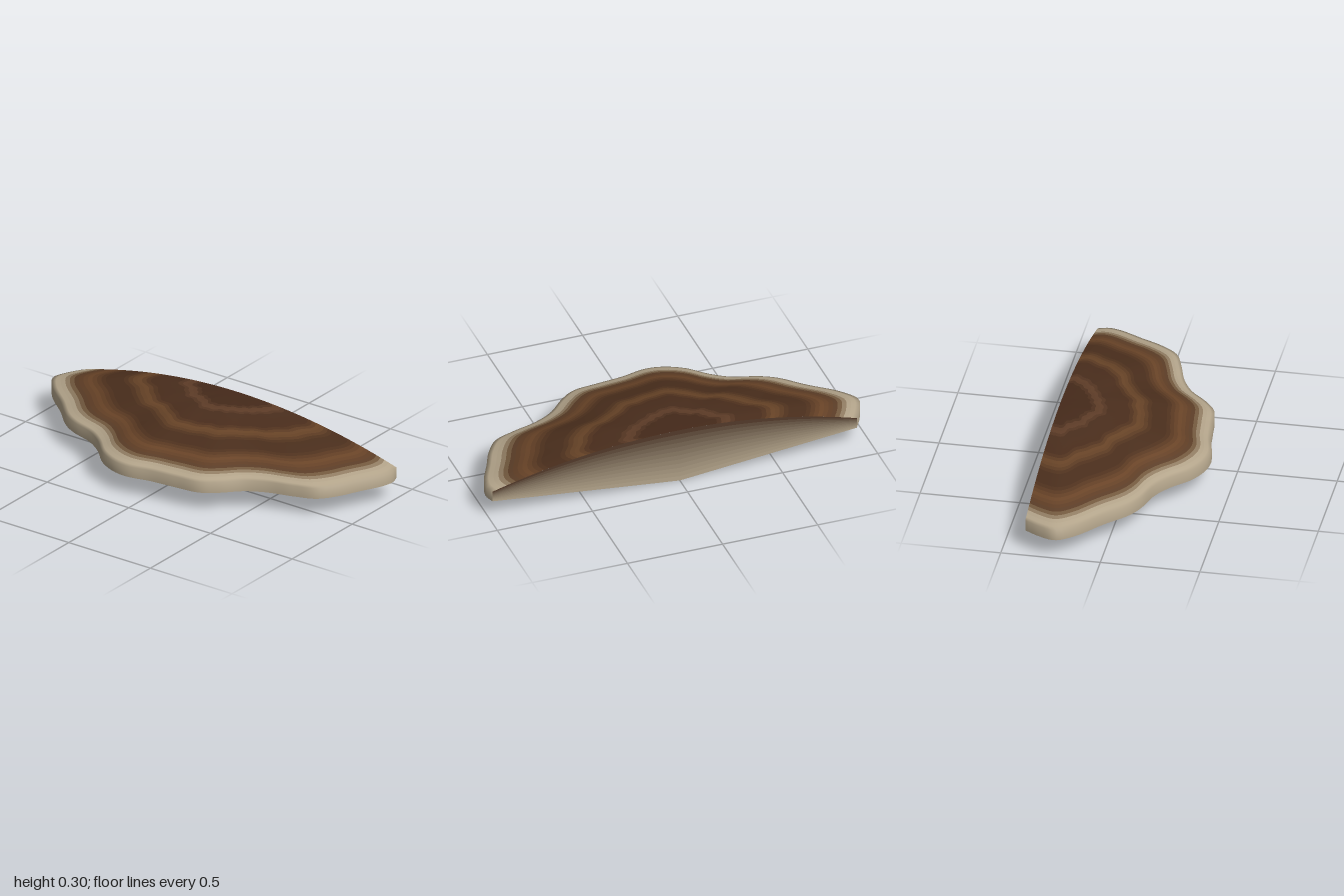
import * as THREE from 'three';

const BACK = -0.39, RIM_TOP = 0.157, RIM_LOW = 0.1, RISE = 0.14, COLS = 120, BANDS = 40;
const PALE = 0xb5a68c;

// Wavy edge, from the back left corner round the front to the back right corner
const EDGE = [
  [-0.93, -0.39], [-0.975, -0.31], [-0.998, -0.23], [-0.94, -0.14], [-0.8, -0.02], [-0.69, 0.085],
  [-0.61, 0.13], [-0.475, 0.175], [-0.385, 0.235], [-0.29, 0.325], [-0.19, 0.375], [-0.1, 0.387],
  [0.03, 0.36], [0.165, 0.345], [0.3, 0.325], [0.38, 0.27], [0.47, 0.18], [0.57, 0.125],
  [0.7, 0.085], [0.81, 0.04], [0.88, -0.05], [0.93, -0.155], [0.99, -0.28], [1, -0.34], [0.985, -0.39],
];

// Growth rings: distance from the centre of the cap, colour
const RINGS = [
  [0, 0x45291a], [0.2, 0x452a1a], [0.25, 0x63402a], [0.31, 0x4a2e1d], [0.45, 0x4a2d1c],
  [0.52, 0x6b4628], [0.6, 0x4a2e1c], [0.7, 0x4a2e1c], [0.79, 0x6b4528], [0.86, 0x593a24],
  [0.9, 0x7d6447], [0.94, PALE], [1, PALE],
];

function ringColor(t) {
  const i = Math.max(1, RINGS.findIndex(r => r[0] >= t));
  const [t0, c0] = RINGS[i - 1], [t1, c1] = RINGS[i];
  return new THREE.Color(c0).lerp(new THREE.Color(c1), (t - t0) / (t1 - t0));
}

const domeHeight = t => RIM_TOP + RISE * (1 - t * t);

// Surface through rows of points, with one colour for each strip between rows
function gridMesh(name, rows, colors) {
  const positions = rows.flat(2), index = [];
  const n = rows[0].length;
  const geometry = new THREE.BufferGeometry();
  for (let i = 0; i < rows.length - 1; i++) {
    geometry.addGroup(i * (n - 1) * 6, (n - 1) * 6, i);
    for (let j = 0; j < n - 1; j++) {
      const a = i * n + j, b = a + 1, d = a + n, c = d + 1;
      index.push(a, d, c, a, c, b);
    }
  }
  geometry.setAttribute('position', new THREE.Float32BufferAttribute(positions, 3));
  geometry.setIndex(index);
  geometry.computeVertexNormals();
  const materials = colors.map(color => new THREE.MeshStandardMaterial({ color }));
  const mesh = new THREE.Mesh(geometry, materials);
  mesh.name = name;
  return mesh;
}

export function createModel() {
  const group = new THREE.Group();
  group.name = 'shelfFungus';

  const curve = new THREE.CatmullRomCurve3(EDGE.map(([x, z]) => new THREE.Vector3(x, 0, z)));
  const edge = curve.getSpacedPoints(COLS);
  const ringRow = (t, y) => edge.map(p => [p.x * t, y, BACK + (p.z - BACK) * t]);

  // Domed cap with slightly ragged growth rings, running over into the upright rim
  const rows = [], colors = [];
  for (let i = 0; i <= BANDS; i++) {
    const t = i / BANDS;
    rows.push(edge.map((p, j) => {
      const a = j / COLS * Math.PI;
      const wobble = Math.sin(a * 9) + 0.6 * Math.sin(a * 23 + 1);
      const r = t + 0.07 * t * (1 - t) * (1 - t) * wobble;
      return [p.x * r, domeHeight(r), BACK + (p.z - BACK) * r];
    }));
    if (i < BANDS) colors.push(ringColor((i + 0.5) / BANDS));
  }
  rows.push(ringRow(1, RIM_LOW));
  colors.push(new THREE.Color(PALE));
  const cap = gridMesh('capAndRim', rows, colors);
  for (let j = 0; j <= COLS; j++) cap.geometry.attributes.normal.setXYZ(j, 0, 1, 0);
  group.add(cap);

  // Pore surface: a shallow cone down to the middle of the back
  const under = [1, 0.75, 0.5, 0.25, 0].map(t => ringRow(t, RIM_LOW * t));
  group.add(gridMesh('underside', under, Array(4).fill(0x857c6a)));

  // Flat back, fading from the cap colour to the pale lower edge
  const backRows = [], backColors = [], strips = 12;
  for (let i = 0; i <= strips; i++) {
    const v = i / strips, row = [];
    for (let j = 0; j <= 48; j++) {
      const s = 1 - j / 24, t = Math.abs(s);
      const x = s * (s > 0 ? 0.985 : 0.93);
      row.push([x, THREE.MathUtils.lerp(domeHeight(t), RIM_LOW * t, v), BACK]);
    }
    backRows.push(row);
    if (i < strips) backColors.push(new THREE.Color(0x4a2e1d).lerp(new THREE.Color(PALE), (i + 0.5) / strips));
  }
  group.add(gridMesh('backFace', backRows, backColors));

  return group;
}
